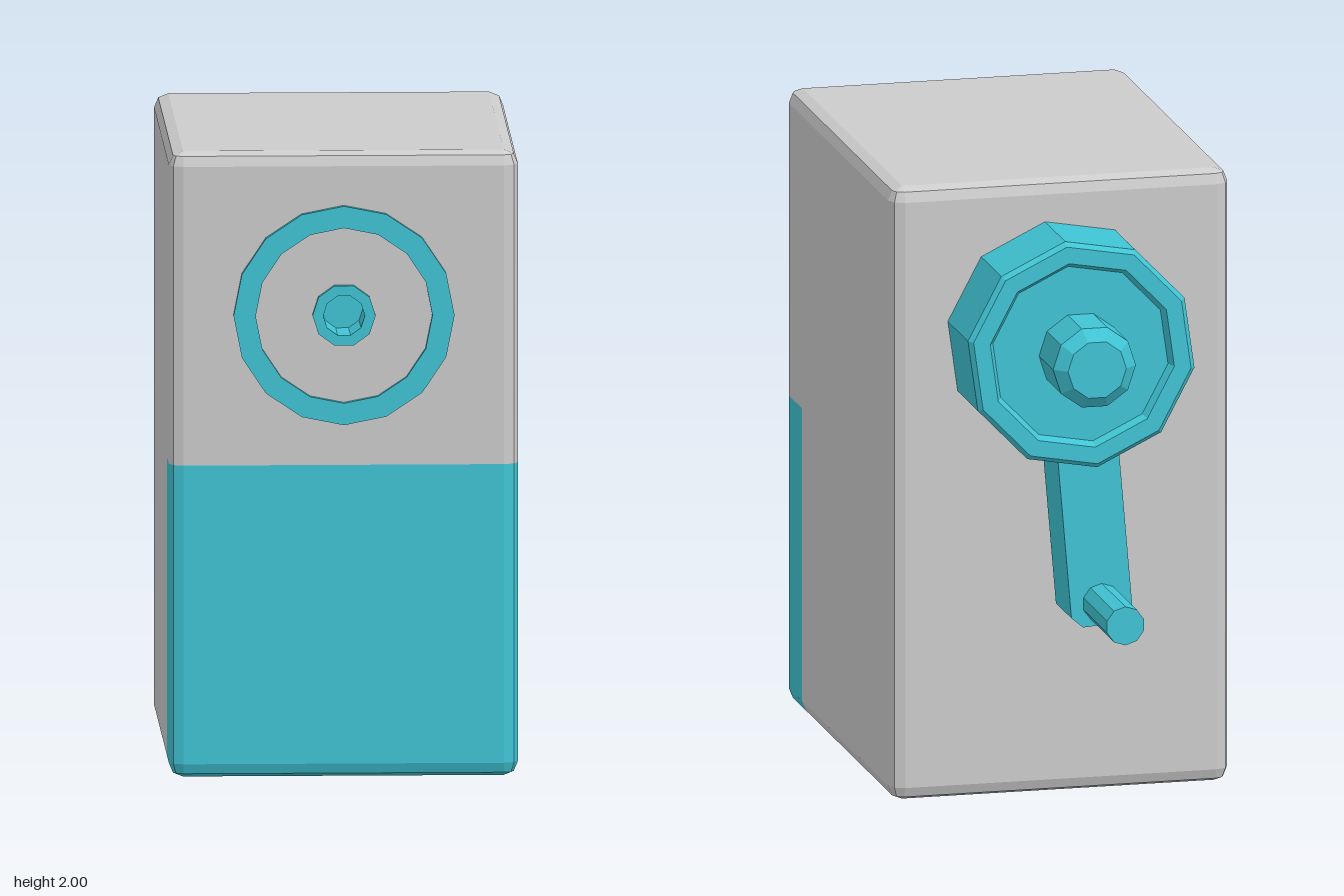
import * as THREE from 'three';

const grey = new THREE.MeshStandardMaterial({ color: 0xcccccc, flatShading: true });
const teal = new THREE.MeshStandardMaterial({ color: 0x40c4d4, flatShading: true });

const W = 0.553, BACK = -0.43, FRONT = 0.965, SPLIT = 0.745, R = 0.045;
const DIAL_Y = 1.48, CRANK_Y = 1.495;

// Bevelled case outline at a given inset: right half back to front, then mirrored
function outline(inset, y) {
  const rho = R - inset, half = [];
  for (const a of [0, Math.PI / 4, Math.PI / 2])
    half.push([W - R + rho * Math.sin(a), BACK + R - rho * Math.cos(a)]);
  half.push([W - inset, SPLIT]);
  for (const a of [0, Math.PI / 4, Math.PI / 2])
    half.push([W - R + rho * Math.cos(a), FRONT - R + rho * Math.sin(a)]);
  const mirrored = half.map(([x, z]) => [-x, z]).reverse();
  return [...half, ...mirrored].map(([x, z]) => [x, y, z]);
}

function facets(positions) {
  const g = new THREE.BufferGeometry();
  g.setAttribute('position', new THREE.Float32BufferAttribute(positions, 3));
  g.computeVertexNormals();
  return g;
}

function add(group, name, geometry, material) {
  const mesh = new THREE.Mesh(geometry, material);
  mesh.name = name;
  group.add(mesh);
  return mesh;
}

// Turned part along z: dir 1 faces the front, -1 the back
function turned(profile, sides, dir, start = 0) {
  const pts = profile.map(([r, d]) => new THREE.Vector2(r, d));
  return new THREE.LatheGeometry(pts, sides, start).rotateX(dir * Math.PI / 2);
}

function buildCase(group) {
  const rings = [[R, 0], [0.013, 0.013], [0, R], [0, 1], [0, 2 - R], [0.013, 1.987], [R, 2]]
    .map(([inset, y]) => outline(inset, y));
  const shell = [], tray = [];
  const quad = (out, a, b, c, d) => out.push(...a, ...b, ...c, ...a, ...c, ...d);
  const n = rings[0].length;
  for (let k = 0; k < rings.length - 1; k++) {
    for (let i = 0; i < n; i++) {
      if (k === 3 && i === 6) continue; // front panel with the pencil hole
      const j = (i + 1) % n, lo = rings[k], hi = rings[k + 1];
      quad(k < 3 && i >= 3 && i <= 9 ? tray : shell, lo[i], hi[i], hi[j], lo[j]);
    }
  }
  // Top and bottom
  const bottom = rings[0], top = rings[rings.length - 1];
  for (let i = 0; i < n / 2 - 1; i++) {
    const l = n - 1 - i;
    quad(shell, top[i], top[l], top[l - 1], top[i + 1]);
    quad(i >= 3 ? tray : shell, bottom[i], bottom[i + 1], bottom[l - 1], bottom[l]);
  }
  add(group, 'case', facets(shell), grey);
  add(group, 'shavingsTray', facets(tray), teal);

  const x = W - R;
  const panel = new THREE.Shape([[-x, 1], [x, 1], [x, 2 - R], [-x, 2 - R]]
    .map(p => new THREE.Vector2(...p)));
  const hole = new THREE.Path();
  hole.absarc(0, DIAL_Y, 0.08, 0, Math.PI * 2, true);
  panel.holes.push(hole);
  add(group, 'frontPanel', new THREE.ShapeGeometry(panel), grey).position.z = FRONT;
}

export function createModel() {
  const group = new THREE.Group();
  buildCase(group);

  // Front ring and pencil hole
  add(group, 'dialRing', turned([[0.35, -0.01], [0.35, 0.022], [0.28, 0.022], [0.28, -0.01]], 16, 1), teal)
    .position.set(0, DIAL_Y, FRONT);
  add(group, 'pencilHole', turned(
    [[0.1, -0.01], [0.1, 0.022], [0.066, 0.022], [0.066, -0.15], [0, -0.15]], 10, 1, Math.PI / 10), teal)
    .position.set(0, DIAL_Y, FRONT);

  // Crank drum with a recessed back face
  add(group, 'crankDrum', turned(
    [[0.375, -0.01], [0.375, 0.265], [0.36, 0.28], [0.305, 0.28], [0.29, 0.255], [0, 0.255]],
    10, -1, 8 * Math.PI / 180), teal).position.set(0, CRANK_Y, BACK);
  add(group, 'crankHub', turned(
    [[0.135, 0.24], [0.135, 0.44], [0.095, 0.476], [0, 0.476]], 10, -1, Math.PI / 10), teal)
    .position.set(0, CRANK_Y, BACK);

  // Crank arm with clipped lower corners, leaning toward the handle
  const w = 0.1, c = 0.035, len = 0.895;
  const arm = new THREE.Shape([[-w, -0.3], [-w, c - len], [c - w, -len], [w - c, -len], [w, c - len], [w, -0.3]]
    .map(p => new THREE.Vector2(...p)));
  const armMesh = add(group, 'crankArm',
    new THREE.ExtrudeGeometry(arm, { depth: 0.205, bevelEnabled: false }), teal);
  armMesh.position.set(0, CRANK_Y, -0.675);
  armMesh.rotation.z = -0.085;

  // Crank handle
  add(group, 'crankHandle', turned([[0.063, 0], [0.063, 0.33], [0, 0.33]], 10, -1), teal)
    .position.set(-0.072, 0.675, -0.657);

  return group;
}
